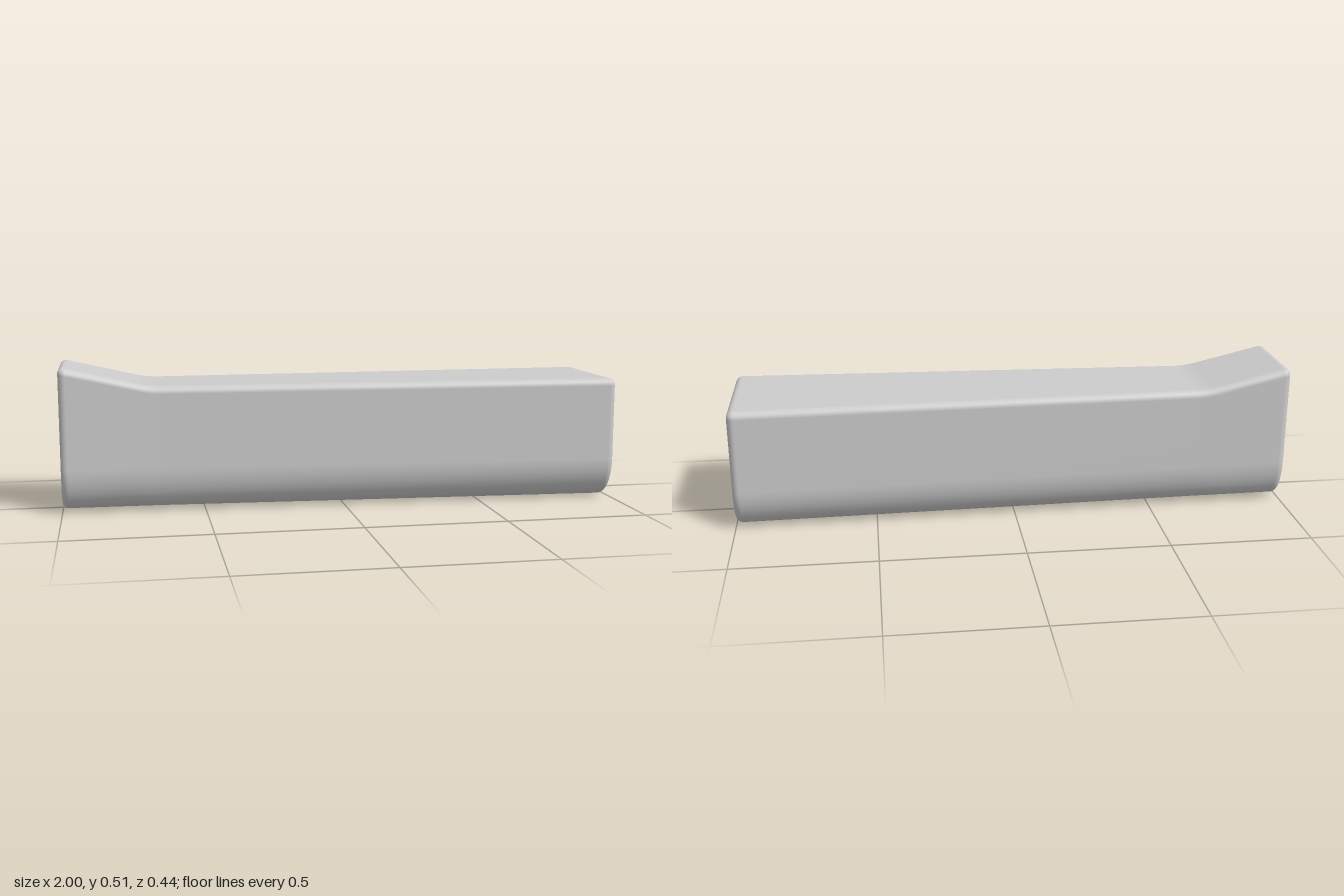
import * as THREE from 'three';

const FILLET = 0.025; // rounding of the end edges and the top edges

// Outer bounds of the bar at a given x
function boundsAt(x) {
  const t = THREE.MathUtils.clamp((x + 0.66) / 1.64, 0, 1);
  // the top rises toward the narrow end, with a soft bend around x = -0.69
  const d = -0.69 - x, soft = 0.04;
  const rise = d > soft ? d : d < -soft ? 0 : (d + soft) ** 2 / (4 * soft);
  return {
    back: THREE.MathUtils.lerp(-0.187, -0.222, t),
    front: THREE.MathUtils.lerp(0.156, 0.222, t),
    bottom: 0.006 - 0.006 * x,
    top: 0.447 + 0.235 * rise,
  };
}

// One cross-section: small round corners on top, large ones below
function section(x, inset) {
  const b = boundsAt(x), pts = [], steps = 10;
  const width = b.front - b.back;
  const rTop = FILLET + 0.001 - inset;
  const rz = width * 0.26 - inset, ry = 0.15 - inset;
  const z0 = b.back + inset, z1 = b.front - inset;
  const y0 = b.bottom + inset, y1 = b.top - inset;
  const corners = [
    [z0 + rTop, y1 - rTop, rTop, rTop],
    [z1 - rTop, y1 - rTop, rTop, rTop],
    [z1 - rz, y0 + ry, rz, ry],
    [z0 + rz, y0 + ry, rz, ry],
  ];
  corners.forEach(([cz, cy, az, ay], k) => {
    for (let i = 0; i <= steps; i++) {
      const a = (k + i / steps) * Math.PI / 2;
      pts.push([x, cy + ay * Math.sin(a), cz - az * Math.cos(a)]);
    }
  });
  return pts;
}

function barGeometry() {
  // stations along x as [x, inset], with rounded ends
  const stations = [], n = 8;
  for (let i = 0; i <= n; i++) {
    const a = (i / n) * Math.PI / 2;
    stations.push([-1 + FILLET * (1 - Math.sin(a)), FILLET * (1 - Math.cos(a))]);
  }
  stations.reverse().sort((p, q) => p[0] - q[0]);
  const farEnd = stations.map(([x, d]) => [-x, d]).reverse();
  for (const x of [-0.8, -0.73, -0.71, -0.69, -0.67, -0.65, -0.5, 0, 0.5]) stations.push([x, 0]);
  stations.push(...farEnd);

  const rings = stations.map(([x, d]) => section(x, d));
  const m = rings[0].length, pos = rings.flat(2), index = [];
  for (let i = 0; i < rings.length - 1; i++) {
    for (let j = 0; j < m; j++) {
      const k = (j + 1) % m, a = i * m, b = a + m;
      index.push(a + j, a + k, b + j, a + k, b + k, b + j);
    }
  }
  // flat caps with their own vertices
  for (const [ring, flip] of [[rings[0], true], [rings[rings.length - 1], false]]) {
    const c = pos.length / 3;
    const mid = boundsAt(ring[0][0]);
    pos.push(ring[0][0], 0.25, (mid.front + mid.back) / 2, ...ring.flat());
    for (let j = 0; j < m; j++) {
      const p = c + 1 + j, q = c + 1 + (j + 1) % m;
      index.push(c, flip ? q : p, flip ? p : q);
    }
  }
  const g = new THREE.BufferGeometry();
  g.setAttribute('position', new THREE.Float32BufferAttribute(pos, 3));
  // rings run front-to-back or back-to-front: make sure faces point outward
  g.setIndex(index);
  let volume = 0;
  const v = (i) => new THREE.Vector3().fromArray(pos, i * 3);
  for (let i = 0; i < index.length; i += 3) {
    volume += v(index[i]).dot(v(index[i + 1]).cross(v(index[i + 2])));
  }
  if (volume < 0) {
    for (let i = 0; i < index.length; i += 3) [index[i], index[i + 1]] = [index[i + 1], index[i]];
    g.setIndex(index);
  }
  g.computeVertexNormals();
  return g;
}

export function createModel() {
  const group = new THREE.Group();
  const grey = new THREE.MeshStandardMaterial({ color: 0xcccccc });
  grey.name = 'light grey';
  const bar = new THREE.Mesh(barGeometry(), grey);
  bar.name = 'taperedBar';
  group.add(bar);
  return group;
}
